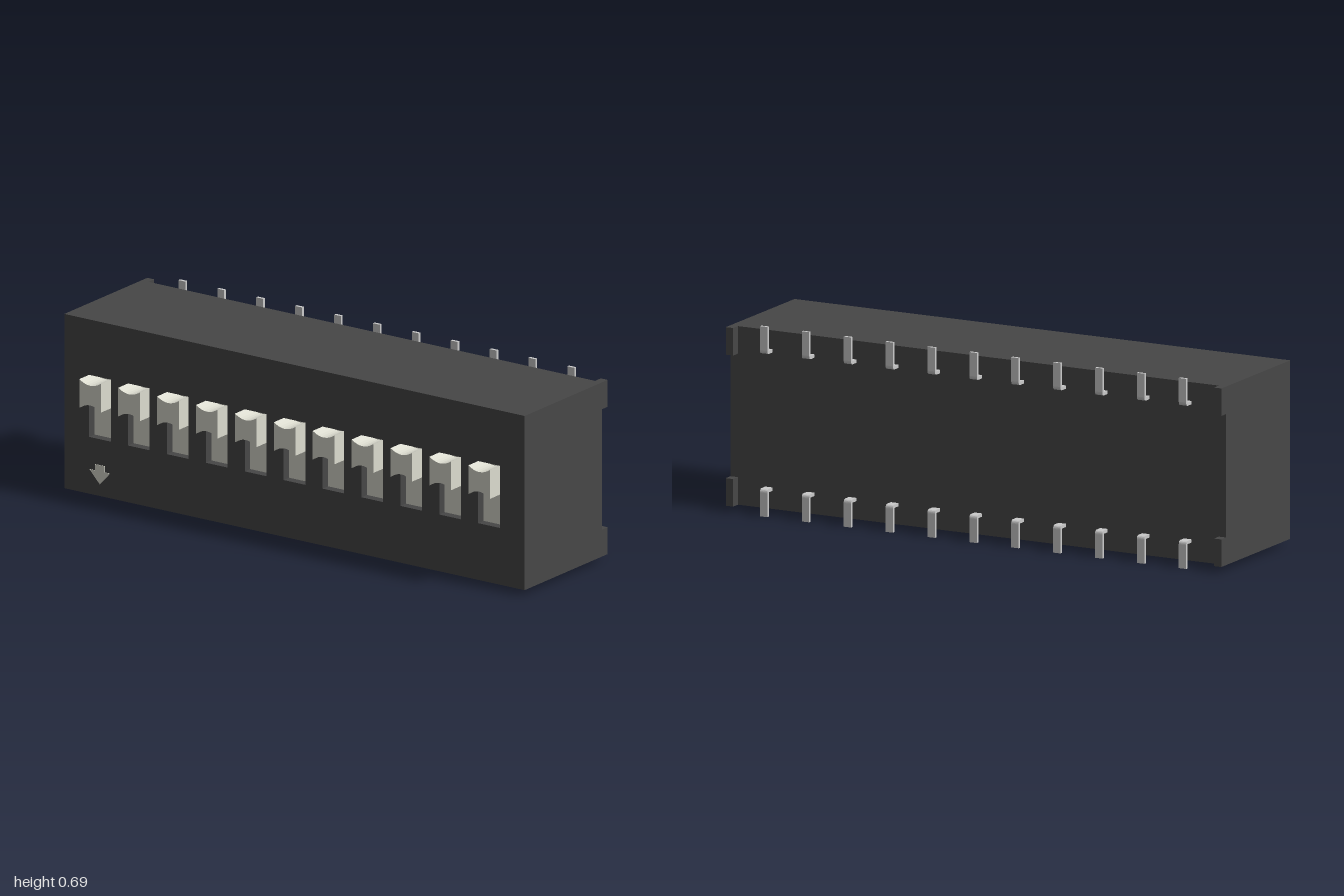
import * as THREE from 'three';

const COUNT = 11, PITCH = 0.169;
const BOTTOM = 0.022, TOP = 0.67, MID = 0.345;
const FRONT = 0.225, BACK = -0.245, FLOOR = 0.19;
const SLOT = { w: 0.094, y0: 0.233, y1: 0.464 };

const paint = (color) => new THREE.MeshStandardMaterial({ color });

function polygon(points, Type = THREE.Shape) {
  return new Type(points.map(([x, y]) => new THREE.Vector2(x, y)));
}

function rect(x0, y0, x1, y1, Type) {
  return polygon([[x0, y0], [x1, y0], [x1, y1], [x0, y1]], Type);
}

function extrude(shape, depth) {
  return new THREE.ExtrudeGeometry(shape, { depth, bevelEnabled: false, curveSegments: 8 });
}

export function createModel() {
  const model = new THREE.Group();
  const dark = paint(0x474747), cream = paint(0xdcdcd0), metal = paint(0xcccccc);

  function add(parent, name, geometry, material, x = 0, y = 0, z = 0) {
    const mesh = new THREE.Mesh(geometry, material);
    mesh.name = name;
    mesh.position.set(x, y, z);
    parent.add(mesh);
    return mesh;
  }

  const columns = Array.from({ length: COUNT }, (_, i) => (i - (COUNT - 1) / 2) * PITCH);

  // Housing: solid block behind a front plate pierced by the slots
  const housing = new THREE.Group();
  housing.name = 'housing';
  model.add(housing);
  add(housing, 'housingBlock', new THREE.BoxGeometry(2, TOP - BOTTOM, FLOOR - BACK), dark,
    0, (TOP + BOTTOM) / 2, (FLOOR + BACK) / 2);
  const plate = rect(-1, BOTTOM, 1, TOP);
  for (const x of columns) {
    plate.holes.push(rect(x - SLOT.w / 2, SLOT.y0, x + SLOT.w / 2, SLOT.y1, THREE.Path));
  }
  add(housing, 'frontPlate', extrude(plate, FRONT - FLOOR), dark, 0, 0, FLOOR);

  // Stand-off feet at the four back corners
  const foot = new THREE.BoxGeometry(0.03, 0.1, 0.035);
  for (const x of [-0.985, 0.985]) {
    for (const y of [BOTTOM + 0.05, TOP - 0.05]) {
      add(housing, 'cornerFoot', foot, dark, x, y, BACK - 0.0175);
    }
  }

  // Sliders: flat slot floor and a knob with hollowed top and bottom
  const w = SLOT.w / 2, k0 = 0.357, k1 = SLOT.y1;
  const knobShape = new THREE.Shape();
  knobShape.moveTo(-w, k0);
  knobShape.quadraticCurveTo(0, k0 + 0.036, w, k0);
  knobShape.lineTo(w, k1);
  knobShape.quadraticCurveTo(0, k1 - 0.032, -w, k1);
  knobShape.closePath();
  const knob = extrude(knobShape, 0.285 - FLOOR);
  const floor = new THREE.BoxGeometry(SLOT.w, SLOT.y1 - SLOT.y0, 0.004);

  // Bent pin: side profile in (z, y), extruded across x
  const p = new THREE.Shape();
  p.moveTo(BACK + 0.005, 0.59);
  p.lineTo(-0.272, 0.59);
  p.quadraticCurveTo(-0.284, 0.59, -0.284, 0.604);
  p.lineTo(-0.284, 0.69);
  p.lineTo(-0.273, 0.69);
  p.lineTo(-0.273, 0.602);
  p.lineTo(BACK + 0.005, 0.602);
  p.closePath();
  const pin = extrude(p, 0.03);
  pin.translate(0, 0, -0.015).rotateY(-Math.PI / 2);

  for (const x of columns) {
    const slider = new THREE.Group();
    slider.name = 'slider';
    slider.position.x = x;
    model.add(slider);
    add(slider, 'slotFloor', floor, cream, 0, (SLOT.y0 + SLOT.y1) / 2, FLOOR);
    add(slider, 'knob', knob, cream, 0, 0, FLOOR);

    add(model, 'upperPin', pin, metal, x);
    add(model, 'lowerPin', pin, metal, x, 2 * MID).rotation.z = Math.PI;
  }

  // Direction arrow beside the first slider
  const arrow = polygon([
    [0, 0.066], [0.045, 0.114], [0.021, 0.114], [0.021, 0.137],
    [-0.021, 0.137], [-0.021, 0.114], [-0.045, 0.114],
  ]);
  add(model, 'directionArrow', extrude(arrow, 0.004), cream, columns[0], 0, FRONT - 0.002);

  return model;
}
